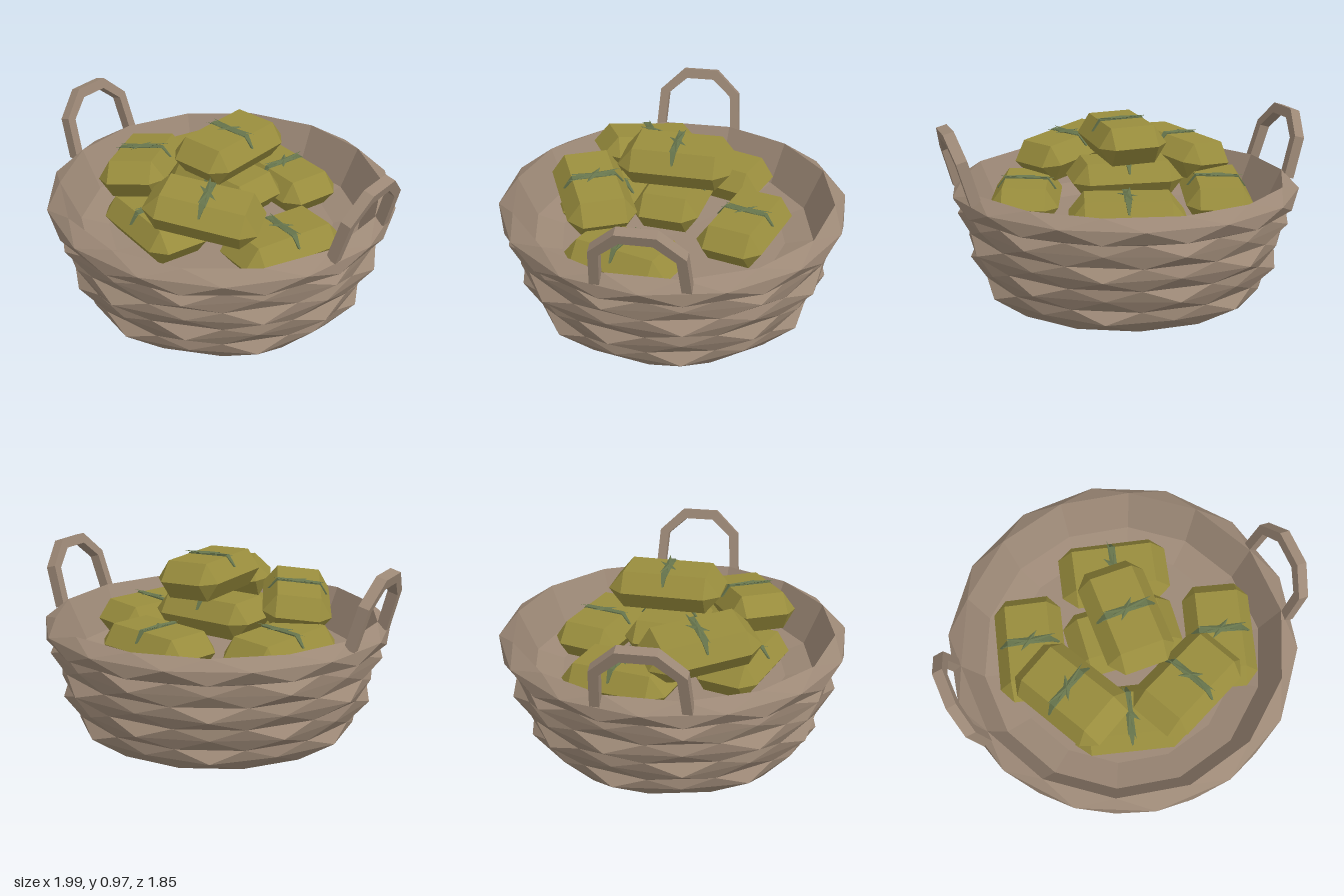
import * as THREE from 'three';
import { ConvexGeometry } from 'three/addons/geometries/ConvexGeometry.js';

const mat = (name, color) => {
  const m = new THREE.MeshStandardMaterial({ color });
  m.name = name;
  return m;
};

// Faceted skin through rings [y, radius(i), twist in steps]; half-step twists give diamond facets
function ringSkin(rings, sides) {
  const pos = [];
  const point = ([y, radius, twist], i) => {
    const a = ((i + twist) / sides) * Math.PI * 2;
    const r = radius(i);
    return [r * Math.cos(a), y, r * Math.sin(a)];
  };
  for (let j = 0; j < rings.length - 1; j++) {
    const lo = rings[j], up = rings[j + 1];
    const s = up[2] < lo[2] ? 1 : 0;
    for (let i = 0; i < sides; i++) {
      if (lo[1](i) > 0) pos.push(...point(lo, i), ...point(up, i + s), ...point(lo, i + 1));
      if (up[1](i) > 0) pos.push(...point(up, i), ...point(up, i + 1), ...point(lo, i + 1 - s));
    }
  }
  const g = new THREE.BufferGeometry();
  g.setAttribute('position', new THREE.Float32BufferAttribute(pos, 3));
  g.computeVertexNormals();
  return g;
}

export function createModel() {
  const model = new THREE.Group();
  model.name = 'basketOfBundles';
  const wicker = mat('wicker', 0x9c8876);
  const leaf = mat('bundleOlive', 0x998d3d);
  const cord = mat('cordGreen', 0x66744c);

  const add = (parent, geometry, material, name) => {
    const m = new THREE.Mesh(geometry, material);
    m.name = name;
    parent.add(m);
    return m;
  };

  // Woven basket: base, four rows whose bumps alternate in and out, rim, inner wall, floor
  const even = (r) => () => r;
  const rings = [[0, even(0), 0], [0, even(0.71), 0]];
  const bulge = [0.8, 0.845, 0.89, 0.907];
  const seam = [0.775, 0.82, 0.853, 0.87];
  bulge.forEach((r, k) => {
    rings.push([k * 0.125 + 0.065, (i) => ((i + k) % 2 ? r : r - 0.04), 0.5]);
    rings.push([(k + 1) * 0.125, even(seam[k]), 0]);
  });
  rings.push([0.515, even(0.925), 0.5], [0.585, even(0.943), 0], [0.635, even(0.872), 0.5],
    [0.41, even(0.77), 0.5], [0.37, even(0.62), 0.5], [0.36, even(0), 0.5]);
  add(model, ringSkin(rings, 14), wicker, 'basket');

  // Leaning arched handles
  const outer = [[0.25, 0], [0.235, 0.23], [0.1, 0.36]];
  const inner = [[0.2, 0], [0.185, 0.21], [0.08, 0.305]];
  const flip = (pts) => pts.map(([x, y]) => [-x, y]);
  const arch = new THREE.Shape([...outer, ...flip(outer).reverse(), ...flip(inner),
    ...inner.slice().reverse()].map((p) => new THREE.Vector2(...p)));
  const handleGeo = new THREE.ExtrudeGeometry(arch, { depth: 0.058, bevelEnabled: false });
  handleGeo.translate(0, 0, -0.029);
  for (const side of [1, -1]) {
    const h = add(model, handleGeo, wicker, side > 0 ? 'leftHandle' : 'rightHandle');
    h.rotation.set(0.28, side * Math.PI / 2, 0, 'YXZ');
    h.position.set(side * 0.87, 0.6, 0);
  }

  // Bundle body: chamfered block, widest at mid height, with a strap over its top half
  const body = [], strap = [];
  for (const sx of [1, -1]) for (const sz of [1, -1]) {
    for (const y of [0.1, -0.1]) body.push(new THREE.Vector3(sx * 0.115, y, sz * 0.22));
    body.push(new THREE.Vector3(sx * 0.115, 0, sz * 0.3), new THREE.Vector3(sx * 0.183, 0, sz * 0.22));
    strap.push(new THREE.Vector3(sx * 0.115, 0.107, sz * 0.016),
      new THREE.Vector3(sx * 0.162, 0.045, sz * 0.004), new THREE.Vector3(sx * 0.1, 0.05, sz * 0.016));
  }
  const bodyGeo = new ConvexGeometry(body);
  const strapGeo = new ConvexGeometry(strap);
  const spikeGeo = new THREE.OctahedronGeometry(1, 0);
  // Pointed strands of the knot: [half length, yaw, roll]
  const strands = [[0.15, 0.14, 0.05], [0.13, -0.16, -0.05], [0.07, 0.85, 0.06]];

  // Bundles: [x, y, z, axis x, axis z, pitch, roll]
  const bundles = [
    [0.03, 0.847, -0.03, -0.04, 1, 0, -0.03],
    [0.01, 0.63, -0.02, 1, 0.12, 0, 0],
    [-0.465, 0.53, -0.18, -0.28, 0.95, -0.05, 0.03],
    [-0.38, 0.7, 0.2, 0.43, 0.9, -0.12, 0.1],
    [0.2, 0.705, 0.39, 0.9, -0.42, 0.14, 0],
    [-0.13, 0.51, 0.39, 0.95, 0.29, 0, 0],
    [0.51, 0.515, 0.155, -0.32, 0.95, 0, 0.03],
    [0.125, 0.525, -0.41, 0.95, 0.27, 0, 0],
  ];
  bundles.forEach(([x, y, z, ax, az, pitch, roll], i) => {
    const b = new THREE.Group();
    b.name = `bundle${i + 1}`;
    b.position.set(x, y, z);
    b.rotation.set(pitch, Math.atan2(ax, az), roll, 'YXZ');
    add(b, bodyGeo, leaf, 'bundleBody');
    add(b, strapGeo, cord, 'strap');
    strands.forEach(([len, yaw, tilt]) => {
      const s = add(b, spikeGeo, cord, 'knotStrand');
      s.scale.set(len, 0.009, 0.019);
      s.position.y = 0.108;
      s.rotation.set(0, yaw, tilt);
    });
    model.add(b);
  });
  return model;
}
